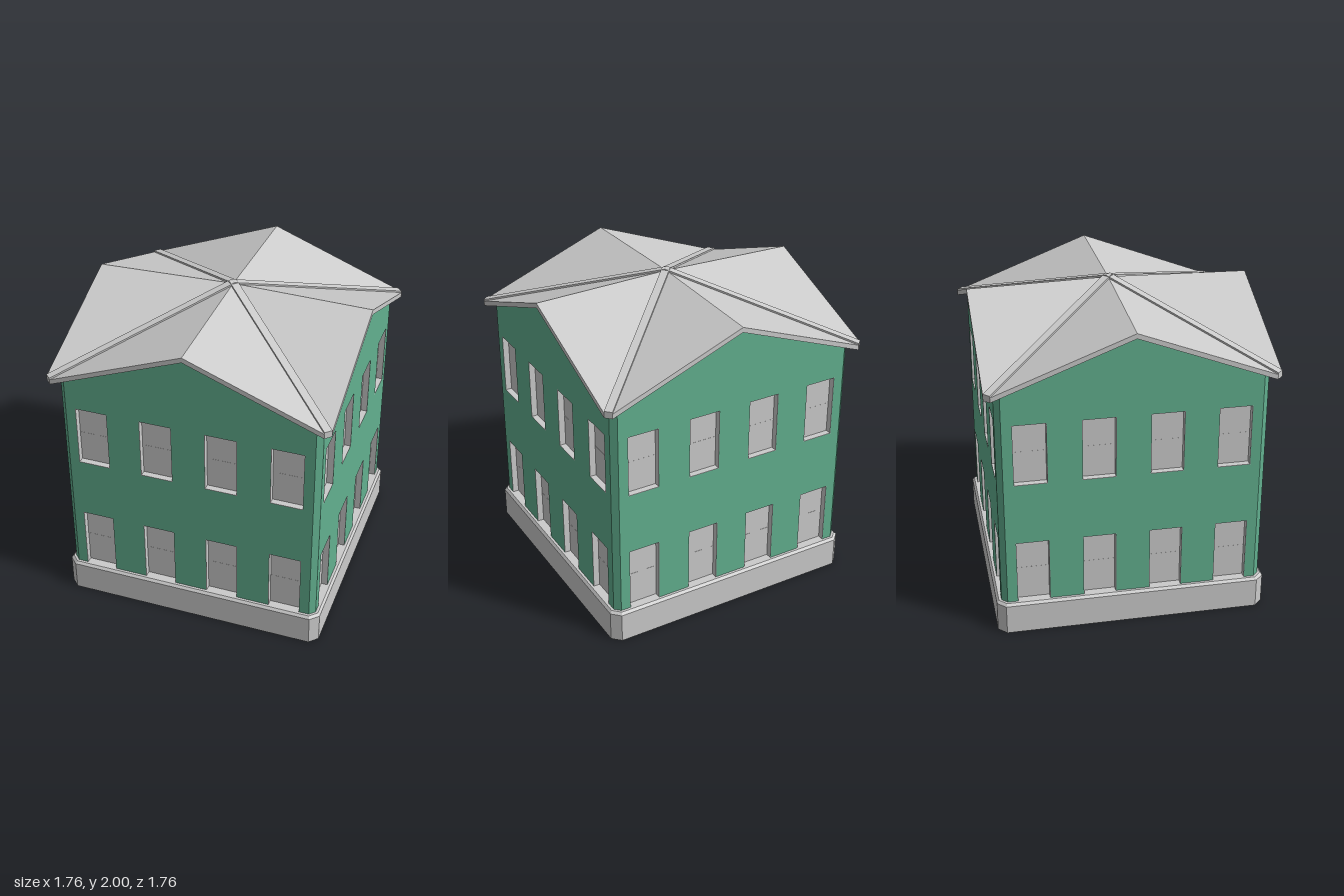
import * as THREE from 'three';

const GREY = new THREE.MeshStandardMaterial({ color: 0xcccccc, flatShading: true });
const GREEN = new THREE.MeshStandardMaterial({ color: 0x62b08f, flatShading: true });

const mesh = (name, geometry, material = GREY) => {
  const m = new THREE.Mesh(geometry, material);
  m.name = name;
  return m;
};
const polygon = (pts) => new THREE.Shape(pts.map(([x, y]) => new THREE.Vector2(x, y)));
const rectangle = (cx, y0, y1, w, Kind = THREE.Path) => {
  const s = new Kind();
  s.moveTo(cx - w / 2, y0).lineTo(cx + w / 2, y0).lineTo(cx + w / 2, y1).lineTo(cx - w / 2, y1).closePath();
  return s;
};
const extrude = (shape, depth) => new THREE.ExtrudeGeometry(shape, { depth, bevelEnabled: false });

// Square with cut corners, as a loop seen from above
function cutSquare(h, cut) {
  const c = h - cut;
  return [[c, h], [h, c], [h, -c], [c, -h], [-c, -h], [-h, -c], [-h, c], [-c, h]];
}

// Solid through stacked loops of [x, y, z], closed at both ends by fans to the given centres
function loft(loops, bottomCentre, topCentre) {
  const pos = [];
  const tri = (a, b, c) => pos.push(...a, ...b, ...c);
  const n = loops[0].length;
  for (let i = 0; i < n; i++) {
    const j = (i + 1) % n;
    tri(bottomCentre, loops[0][j], loops[0][i]);
    tri(topCentre, loops.at(-1)[i], loops.at(-1)[j]);
    for (let k = 0; k + 1 < loops.length; k++) {
      const lo = loops[k], hi = loops[k + 1];
      tri(hi[i], lo[i], lo[j]);
      tri(hi[i], lo[j], hi[j]);
    }
  }
  const g = new THREE.BufferGeometry();
  g.setAttribute('position', new THREE.Float32BufferAttribute(pos, 3));
  g.computeVertexNormals();
  return g;
}

// Sizes
const WALL = 0.82, WALL_CUT = 0.035, THICK = 0.06;
const WIN_W = 0.206, RECESS = 0.045;
const COLUMNS = [-0.62, -0.207, 0.207, 0.62];
const ROWS = [{ y0: 0.205, y1: 0.625, bar: 0.415 }, { y0: 1.02, y1: 1.42, bar: 1.215 }];
const EAVE = 0.88, EAVE_CUT = 0.036, ROOF_THICK = 0.032;

// Glazing bar with sloping sides, running along y
function glazingBar(length, width) {
  const w = width / 2;
  const g = extrude(polygon([[-w, 0], [w, 0], [w * 0.6, 0.016], [-w * 0.6, 0.016]]), length);
  return g.translate(0, 0, -length / 2).rotateX(Math.PI / 2).scale(1, 1, -1).rotateY(Math.PI).scale(1, 1, -1);
}

// Recessed window: pane, reveal lining and crossed bars
function createWindow(cx, { y0, y1, bar }) {
  const g = new THREE.Group();
  g.name = 'window';
  const h = y1 - y0, back = WALL - RECESS;
  const lining = rectangle(cx, y0, y1, WIN_W, THREE.Shape);
  lining.holes.push(rectangle(cx, y0 + 0.003, y1 - 0.003, WIN_W - 0.006));
  const frame = mesh('windowReveal', extrude(lining, RECESS));
  frame.position.z = back;
  const pane = mesh('windowPane', new THREE.BoxGeometry(WIN_W, h, 0.01));
  pane.position.set(cx, (y0 + y1) / 2, back);
  const upright = mesh('uprightBar', glazingBar(h, 0.022));
  upright.position.set(cx, (y0 + y1) / 2, back + 0.004);
  const cross = mesh('crossBar', glazingBar(WIN_W, 0.022));
  cross.rotation.z = Math.PI / 2;
  cross.position.set(cx, bar, back + 0.006);
  for (const b of [upright, cross]) b.material = BAR;
  g.add(frame, pane, upright, cross);
  return g;
}
const BAR = new THREE.MeshStandardMaterial({ color: 0xcccccc, flatShading: true, side: THREE.DoubleSide });

// One gabled face with its eight windows, facing +z
function createFacade() {
  const g = new THREE.Group();
  g.name = 'facade';
  const e = WALL - WALL_CUT;
  const shape = polygon([[-e, 0.15], [e, 0.15], [e, 1.635], [0, 1.94], [-e, 1.635]]);
  for (const cx of COLUMNS) {
    for (const row of ROWS) {
      shape.holes.push(rectangle(cx, row.y0, row.y1, WIN_W));
      g.add(createWindow(cx, row));
    }
  }
  const wall = mesh('wall', extrude(shape, THICK), GREEN);
  wall.position.z = WALL - THICK;
  g.add(wall);
  return g;
}

// Post with a cut outer edge, at the +x +z corner
function createCornerPost() {
  const e = WALL - WALL_CUT, i = WALL - THICK;
  const geo = extrude(polygon([[i, -i], [i, -WALL], [e, -WALL], [WALL, -e], [WALL, -i]]), 1.485);
  const post = mesh('cornerPost', geo.rotateX(-Math.PI / 2), GREEN);
  post.position.y = 0.15;
  return post;
}

// Raised cap running down a roof valley to the +x +z corner
function createValleyCap() {
  const r = (EAVE - EAVE_CUT / 2) * Math.SQRT2 + 0.001;
  const geo = extrude(polygon([[0, 1.96], [r, 1.608], [r, 1.648], [0, 2]]), 0.05);
  return mesh('valleyCap', geo.translate(0, 0, -0.025).rotateY(-Math.PI / 4));
}

// Four-gabled roof: ridges on the axes, valleys on the diagonals
function createRoof() {
  const c = EAVE - EAVE_CUT, top = [];
  for (let q = 0; q < 4; q++) {
    const a = (q * Math.PI) / 2, s = Math.sin(a), k = Math.cos(a);
    for (const [x, y, z] of [[0, 1.962, EAVE], [c, 1.637, EAVE], [EAVE, 1.637, c]]) {
      top.push([x * k + z * s, y, z * k - x * s]);
    }
  }
  const under = top.map(([x, y, z]) => [x, y - ROOF_THICK, z]);
  return mesh('roof', loft([under, top], [0, 1.982 - ROOF_THICK, 0], [0, 1.982, 0]));
}

// Plinth with cut corners and a small sloped top edge
function createPlinth() {
  const loops = [[0, 0.85, 0.052], [0.192, 0.85, 0.052], [0.208, 0.836, 0.046]].map(
    ([y, h, cut]) => cutSquare(h, cut).map(([x, z]) => [x, y, z]));
  return mesh('plinth', loft(loops, [0, 0, 0], [0, 0.208, 0]));
}

export function createModel() {
  const house = new THREE.Group();
  house.name = 'house';
  house.add(createPlinth(), createRoof());
  for (let i = 0; i < 4; i++) {
    const side = new THREE.Group();
    side.name = 'houseSide';
    side.add(createFacade(), createCornerPost(), createValleyCap());
    side.rotation.y = (i * Math.PI) / 2;
    house.add(side);
  }
  return house;
}
